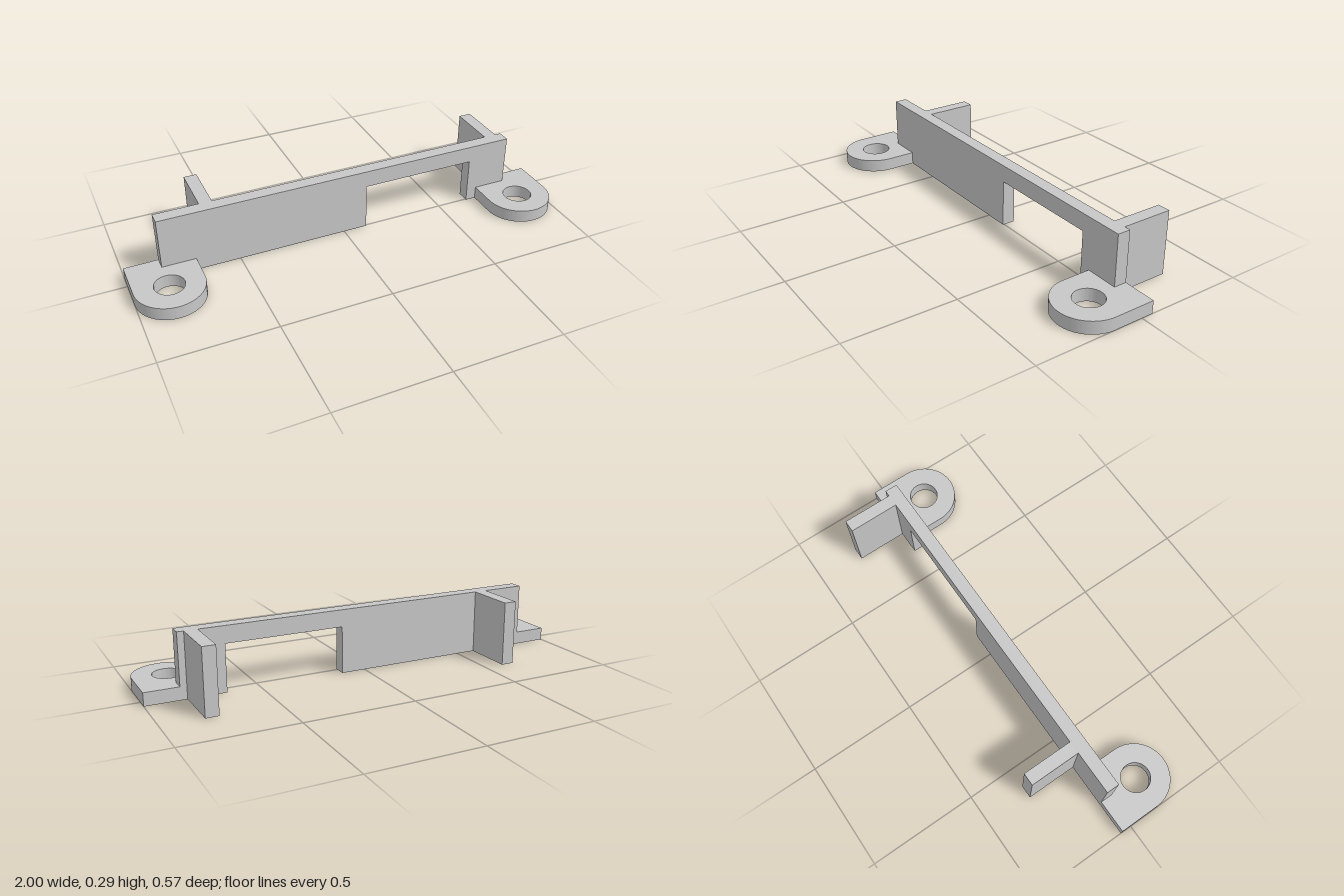
import * as THREE from 'three';
import { toCreasedNormals } from 'three/addons/utils/BufferGeometryUtils.js';

const BACK = -0.053, FRONT = 0.006; // wall faces in z
const HEIGHT = 0.292;

export function createModel() {
  const group = new THREE.Group();
  const grey = new THREE.MeshStandardMaterial({ color: 0xc7c7c7 });
  grey.name = 'light grey';

  const add = (name, geometry) => {
    const mesh = new THREE.Mesh(geometry, grey);
    mesh.name = name;
    group.add(mesh);
    return mesh;
  };
  const extrude = (shape, depth) => toCreasedNormals(
    new THREE.ExtrudeGeometry(shape, { depth, bevelEnabled: false, curveSegments: 32 }), 0.5);

  // Upright wall with a rectangular cut-out at the bottom
  const wall = new THREE.Shape([
    [-0.848, 0], [0.111, 0], [0.111, 0.214], [0.648, 0.214],
    [0.648, 0], [0.848, 0], [0.848, HEIGHT], [-0.848, HEIGHT],
  ].map(([x, y]) => new THREE.Vector2(x, y)));
  add('wall', extrude(wall, FRONT - BACK)).position.z = BACK;

  // Rounded mounting tabs with a screw hole (shape y is -z)
  const radius = 0.152, centreZ = 0.135;
  for (const [name, x] of [['rightTab', -0.848], ['leftTab', 0.848]]) {
    const tab = new THREE.Shape();
    tab.moveTo(radius, -BACK);
    tab.lineTo(-radius, -BACK);
    tab.lineTo(-radius, -centreZ);
    tab.absarc(0, -centreZ, radius, Math.PI, Math.PI * 2, false);
    tab.closePath();
    const hole = new THREE.Path();
    hole.absarc(0, -centreZ, 0.066, 0, Math.PI * 2, true);
    tab.holes.push(hole);
    const geometry = extrude(tab, 0.059).rotateX(-Math.PI / 2);
    add(name, geometry).position.x = x;
  }

  // Fins standing behind the wall
  const finDepth = 0.287 + BACK;
  for (const [name, x] of [['rightFin', -0.619], ['leftFin', 0.79]]) {
    add(name, new THREE.BoxGeometry(0.058, HEIGHT, finDepth))
      .position.set(x, HEIGHT / 2, BACK - finDepth / 2);
  }

  return group;
}
